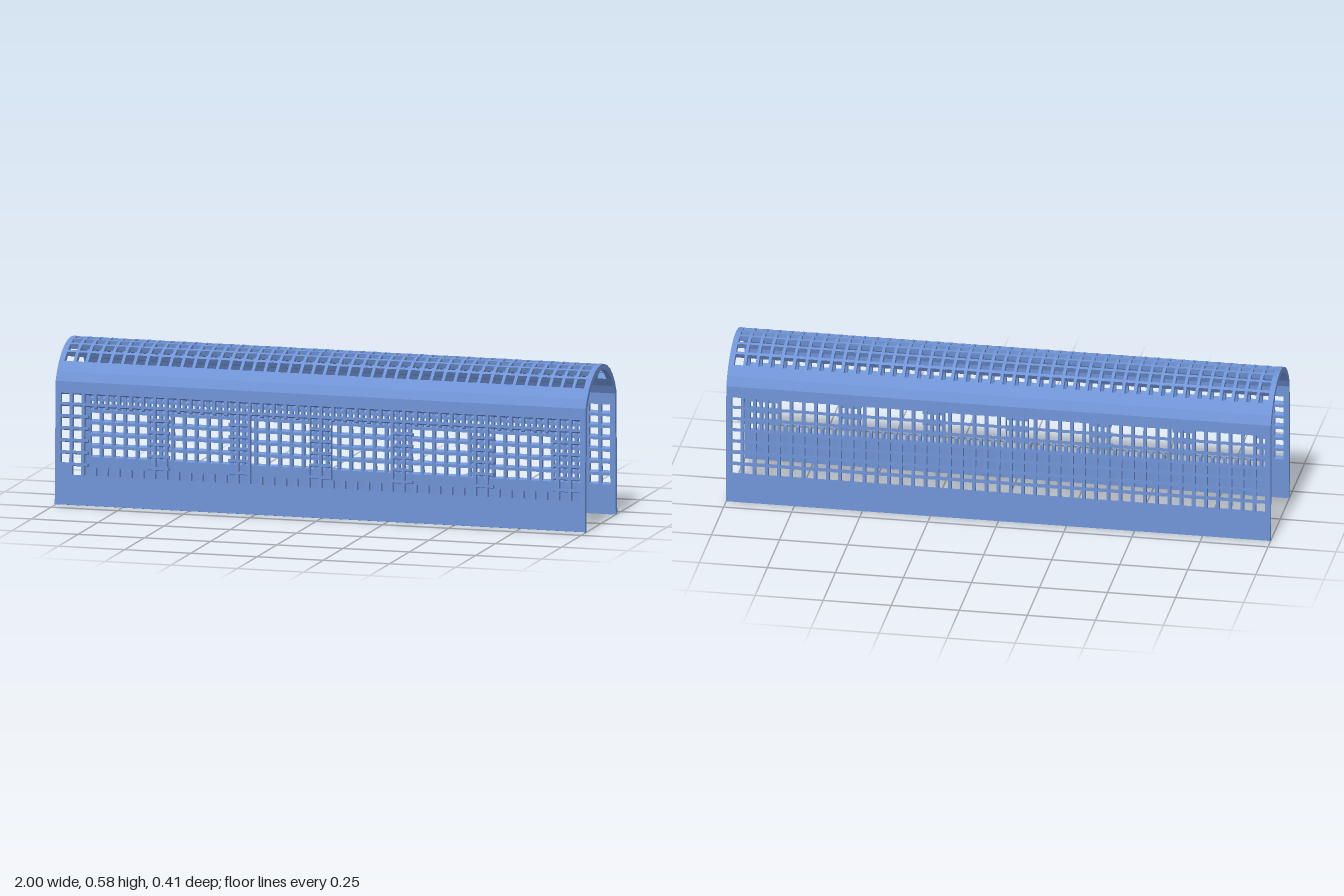
import * as THREE from 'three';

// Half cross-section, from the wall foot up to the crown: [z, y]
const OUTER = [[0.206, 0.004], [0.195, 0.455], [0.178, 0.488], [0.15, 0.522], [0.117, 0.549], [0.08, 0.568], [0.04, 0.58], [0, 0.584]];
const INNER = [[0.187, 0], [0.177, 0.447], [0.16, 0.477], [0.136, 0.507], [0.106, 0.531], [0.072, 0.549], [0.036, 0.56], [0, 0.564]];
const HOLE = 0.0168; // half size of a mesh hole

const series = (count, start, pitch) => Array.from({ length: count }, (_, i) => start + i * pitch);
const columns = series(44, -0.9632, 0.0448);
const wallRows = series(7, 0.1285, 0.0445);
const roofRows = series(7, -0.1335, 0.0445);
const windows = series(6, -0.765, 0.306).map((c) => [c - 0.112, c + 0.112]);
const WINDOW_Y = [0.142, 0.361];

const edges = (centres) => centres.flatMap((c) => [c - HOLE, c + HOLE]);
const inHole = (v, centres) => centres.some((c) => Math.abs(v - c) < HOLE);
const sorted = (list) => list.sort((a, b) => a - b).filter((v, i, a) => i === 0 || v - a[i - 1] > 1e-5);

const mix = (a, b, f) => [a[0] + (b[0] - a[0]) * f, a[1] + (b[1] - a[1]) * f];
function along(segment, f) {
  return { outer: mix(OUTER[segment], OUTER[segment + 1], f), inner: mix(INNER[segment], INNER[segment + 1], f) };
}
const flipZ = (s) => ({ outer: [-s.outer[0], s.outer[1]], inner: [-s.inner[0], s.inner[1]] });

// Pair of outer and inner points on a wall at height y, or on the roof at depth z
const wallStation = (y) => along(0, y / 0.455);
function roofStation(z) {
  const d = Math.abs(z);
  let k = 1;
  while (k < OUTER.length - 2 && d < OUTER[k + 1][0]) k++;
  const s = along(k, (OUTER[k][0] - d) / (OUTER[k][0] - OUTER[k + 1][0]));
  return z < 0 ? flipZ(s) : s;
}

// Thick perforated panel: cells of an x-by-profile grid, with rims around every opening
function panel(name, material, xs, stations, isSolid, openStart, openEnd) {
  const nx = xs.length - 1, nv = stations.length - 1, positions = [];
  const solid = [];
  for (let i = 0; i < nx; i++) {
    solid.push([]);
    for (let j = 0; j < nv; j++) {
      solid[i].push(isSolid((xs[i] + xs[i + 1]) / 2, (stations[j].v + stations[j + 1].v) / 2));
    }
  }
  const filled = (i, j) => {
    if (i < 0 || i >= nx) return false;
    if (j < 0) return !openStart;
    if (j >= nv) return !openEnd;
    return solid[i][j];
  };
  const point = (i, j, side) => [xs[i], stations[j][side][1], stations[j][side][0]];
  const quad = (a, b, c, d) => positions.push(...a, ...b, ...c, ...a, ...c, ...d);
  for (let i = 0; i < nx; i++) {
    for (let j = 0; j < nv; j++) {
      if (!solid[i][j]) continue;
      const corners = [[i, j], [i + 1, j], [i + 1, j + 1], [i, j + 1]];
      const o = corners.map(([a, b]) => point(a, b, 'outer'));
      const n = corners.map(([a, b]) => point(a, b, 'inner'));
      quad(...o);
      quad(n[3], n[2], n[1], n[0]);
      [[i, j - 1], [i + 1, j], [i, j + 1], [i - 1, j]].forEach(([a, b], e) => {
        const f = (e + 1) % 4;
        if (!filled(a, b)) quad(o[e], n[e], n[f], o[f]);
      });
    }
  }
  const geometry = new THREE.BufferGeometry();
  geometry.setAttribute('position', new THREE.Float32BufferAttribute(positions, 3));
  geometry.computeVertexNormals();
  const mesh = new THREE.Mesh(geometry, material);
  mesh.name = name;
  return mesh;
}

export function createModel() {
  const blue = new THREE.MeshStandardMaterial({ color: 0x7094d6 });
  blue.name = 'blue';
  const model = new THREE.Group();
  model.name = 'perforatedArchCover';
  const xs = sorted([-1, 1, ...edges(columns)]);

  // Front wall: mesh holes cut through by six large windows, one corner hole left closed
  const frontYs = sorted([0, 0.455, ...edges(wallRows), ...WINDOW_Y]);
  const frontSolid = (x, y) => {
    const inWindow = y > WINDOW_Y[0] && y < WINDOW_Y[1] && windows.some(([a, b]) => x > a && x < b);
    const closedCorner = x < -0.94 && y < 0.15;
    return !inWindow && (closedCorner || !(inHole(x, columns) && inHole(y, wallRows)));
  };
  model.add(panel('frontWall', blue, sorted([...xs, ...windows.flat()]),
    frontYs.map((y) => ({ v: y, ...wallStation(y) })), frontSolid, true, false));

  // Curved roof with seven rows of holes
  const bends = OUTER.slice(1).flatMap(([z]) => [z, -z]);
  const roofZs = sorted([...bends, ...edges(roofRows)]).reverse();
  model.add(panel('curvedRoof', blue, xs, roofZs.map((z) => ({ v: z, ...roofStation(z) })),
    (x, z) => !(inHole(x, columns) && inHole(z, roofRows)), false, false));

  // Back wall: mesh holes only
  const backYs = sorted([0, 0.455, ...edges(wallRows)]).reverse();
  model.add(panel('backWall', blue, xs, backYs.map((y) => ({ v: y, ...flipZ(wallStation(y)) })),
    (x, y) => !(inHole(x, columns) && inHole(y, wallRows)), false, true));

  return model;
}
